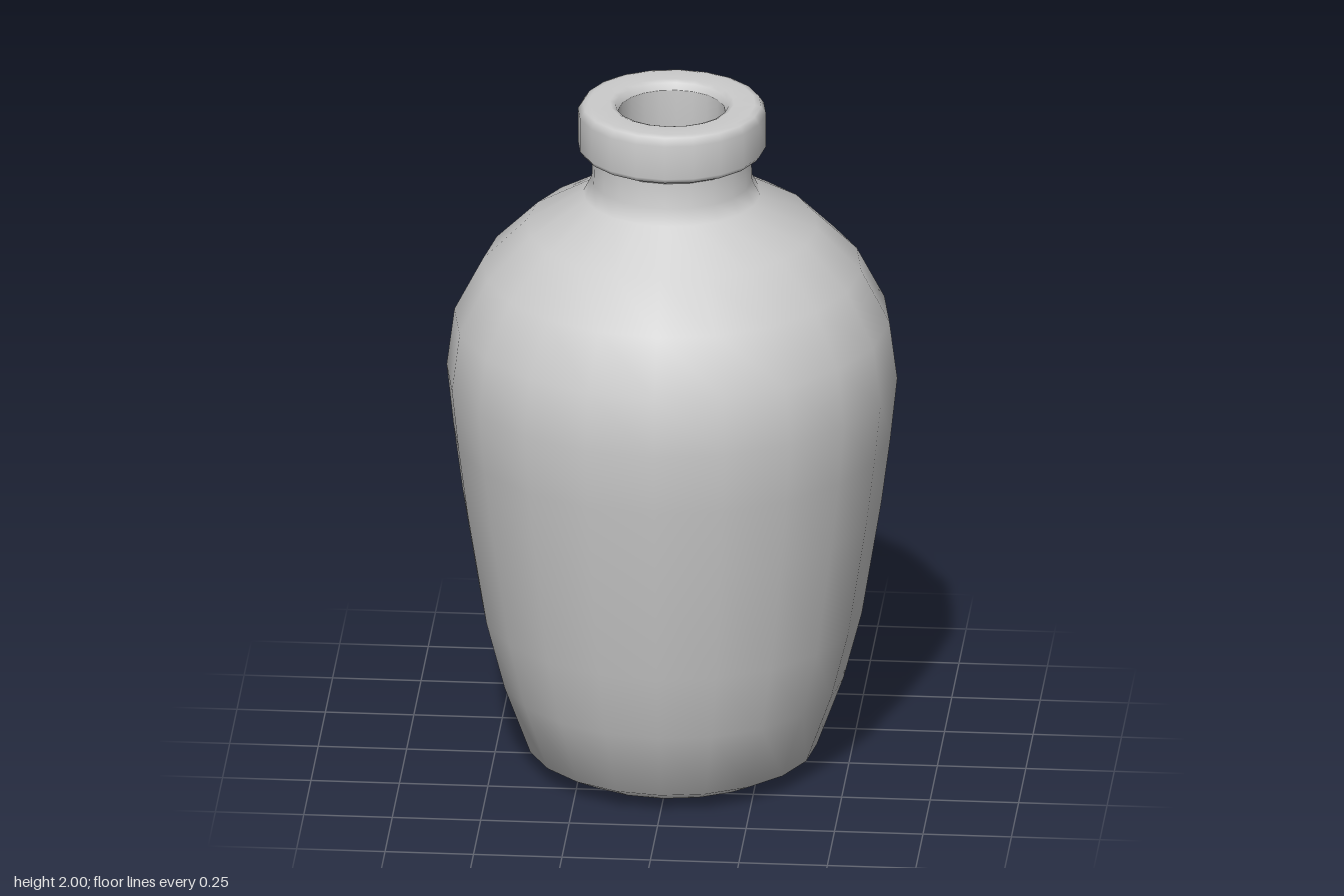
import * as THREE from 'three';

const SIDES = 20;

// Revolves a list of [radius, height] pairs around the y axis.
function turned(name, profile, material) {
  const points = profile.map(([r, y]) => new THREE.Vector2(r, y));
  const mesh = new THREE.Mesh(new THREE.LatheGeometry(points, SIDES), material);
  mesh.name = name;
  return mesh;
}

export function createModel() {
  const group = new THREE.Group();
  group.name = 'jar';
  const clay = new THREE.MeshStandardMaterial({ color: 0xcccccc, side: THREE.DoubleSide });

  // Outer body: flat foot, tapered belly, round shoulder, neck and collar
  const body = [
    [0, 0], [0.22, 0], [0.325, 0.01], [0.41, 0.055],
    [0.485, 0.26], [0.537, 0.46], [0.592, 0.8], [0.618, 1.0], [0.637, 1.18],
    [0.615, 1.35], [0.535, 1.505], [0.41, 1.63], [0.25, 1.725],
    [0.227, 1.77], [0.224, 1.845],
  ];
  group.add(turned('body', body, clay));

  // Thick rolled lip around the mouth
  const lip = [
    [0.224, 1.845], [0.232, 1.857], [0.255, 1.86], [0.266, 1.875],
    [0.266, 1.975], [0.252, 1.996], [0.235, 2],
    [0.175, 2], [0.16, 1.994], [0.151, 1.975],
  ];
  group.add(turned('lip', lip, clay));

  // Hollow inside, from the mouth down to a flat floor
  const inside = [
    [0.151, 1.975], [0.15, 1.77], [0.18, 1.69], [0.36, 1.58], [0.475, 1.46],
    [0.55, 1.32], [0.57, 1.18], [0.53, 0.8], [0.475, 0.46], [0.42, 0.26],
    [0.36, 0.1], [0.3, 0.07], [0.2, 0.06], [0, 0.06],
  ];
  group.add(turned('inside', inside, clay));

  return group;
}
